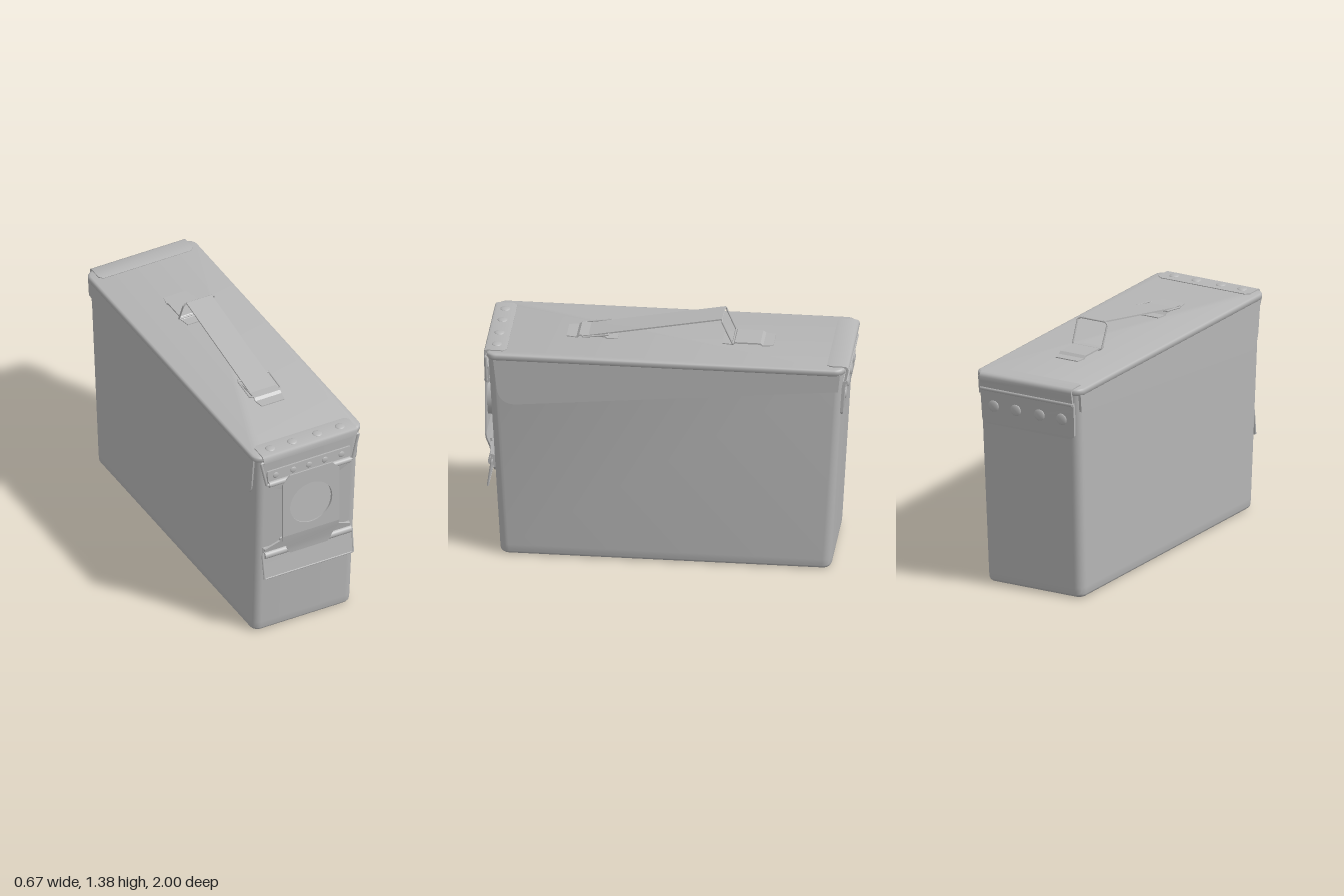
import * as THREE from 'three';
import { toCreasedNormals } from 'three/addons/utils/BufferGeometryUtils.js';

const steel = new THREE.MeshStandardMaterial({ color: 0xb6b6b6, side: THREE.DoubleSide });
steel.name = 'grey steel';

export function createModel() {
  const root = new THREE.Group();
  root.name = 'metalStorageCan';

  const add = (name, geo, pos = [0, 0, 0], rot = [0, 0, 0], parent = root) => {
    const m = new THREE.Mesh(geo, steel);
    m.name = name;
    m.position.set(...pos);
    m.rotation.set(...rot);
    parent.add(m);
    return m;
  };

  // Closed skin through a series of convex cross-sections
  const loft = (rings, crease = 0.6) => {
    const n = rings[0].length, idx = [], last = (rings.length - 1) * n;
    for (let i = 0; i < rings.length - 1; i++) {
      for (let j = 0; j < n; j++) {
        const a = i * n + j, b = i * n + (j + 1) % n;
        idx.push(a, b, b + n, a, b + n, a + n);
      }
    }
    for (let j = 1; j < n - 1; j++) {
      idx.push(0, j + 1, j, last, last + j, last + j + 1);
    }
    const g = new THREE.BufferGeometry();
    g.setAttribute('position', new THREE.Float32BufferAttribute(rings.flat(2), 3));
    g.setIndex(idx);
    return toCreasedNormals(g, crease);
  };

  // Rounded rectangle cross-section at height y
  const roundRing = (y, hx, hz, r) => {
    const pts = [], seg = 8;
    [[1, -1], [-1, -1], [-1, 1], [1, 1]].forEach(([sx, sz], q) => {
      for (let k = 0; k <= seg; k++) {
        const a = (q + k / seg) * Math.PI / 2;
        pts.push([sx * (hx - r) + r * Math.cos(a), y, sz * (hz - r) - r * Math.sin(a)]);
      }
    });
    return pts;
  };

  // Bent sheet: rows of [y, z, half width]; runs up the back, forward over the top, down the front
  const strip = (rows, t = 0.01, crease = 0.6) => loft(rows.map(([y, z, w], i) => {
    const p = rows[Math.max(i - 1, 0)], q = rows[Math.min(i + 1, rows.length - 1)];
    const dy = q[0] - p[0], dz = q[1] - p[1], l = Math.hypot(dy, dz);
    const yi = y - t * dz / l, zi = z + t * dy / l;
    return [[w, y, z], [-w, y, z], [-w, yi, zi], [w, yi, zi]];
  }), crease);

  const wire = (name, pts, r = 0.006) => {
    const path = new THREE.CurvePath();
    const v = pts.map(p => new THREE.Vector3(...p));
    for (let i = 1; i < v.length; i++) path.add(new THREE.LineCurve3(v[i - 1], v[i]));
    add(name, new THREE.TubeGeometry(path, 16 * (v.length - 1), r, 8));
  };

  const rivetRow = (name, xs, y, z, r, rot) => xs.forEach(x => {
    const m = add(name, new THREE.SphereGeometry(r, 20, 8, 0, Math.PI * 2, 0, Math.PI / 2), [x, y, z], rot);
    m.scale.y = 0.3;
  });

  const roll = (name, y, z, r, w) =>
    add(name, new THREE.CylinderGeometry(r, r, w, 16), [0, y, z], [0, 0, Math.PI / 2]);

  // Tapered body with softly rounded bottom
  const body = [];
  for (let k = 0; k <= 6; k++) {
    const a = k / 6 * Math.PI / 2, inset = 0.03 * (1 - Math.sin(a));
    body.push(roundRing(0.03 * (1 - Math.cos(a)), 0.305 - inset, 0.905 - inset, 0.05 - inset));
  }
  body.push(roundRing(0.06, 0.306, 0.907, 0.05), roundRing(1.195, 0.319, 0.97, 0.05));
  add('body', loft(body));

  // Lid with rolled rim
  add('lid', loft([
    roundRing(1.185, 0.326, 0.972, 0.05), roundRing(1.192, 0.333, 0.979, 0.055),
    roundRing(1.212, 0.335, 0.981, 0.055), roundRing(1.22, 0.331, 0.977, 0.052),
    roundRing(1.223, 0.322, 0.968, 0.045),
  ], 0.9));

  // Raised side panels with sloping lower edge
  const panel = new THREE.Shape();
  panel.moveTo(-0.94, 1.19);
  panel.lineTo(-0.92, 1.02);
  panel.quadraticCurveTo(-0.91, 0.915, -0.81, 0.922);
  panel.lineTo(0.945, 1.09);
  panel.lineTo(0.955, 1.19);
  panel.closePath();
  for (const s of [1, -1]) {
    add('sidePanel', new THREE.ExtrudeGeometry(panel, { depth: 0.014, bevelEnabled: false, curveSegments: 10 }),
      [s > 0 ? 0.311 : -0.325, 0, 0], [0, Math.PI / 2, 0]);
  }

  // Front lid plate and rivets
  add('frontLidPlate', strip([[1.227, 0.87, 0.27], [1.229, 0.89, 0.29], [1.229, 0.975, 0.29],
    [1.225, 0.988, 0.29], [1.215, 0.993, 0.29], [1.185, 0.993, 0.285]]));
  rivetRow('lidRivet', [-0.215, -0.08, 0.075, 0.215], 1.228, 0.93, 0.028, [0, 0, 0]);

  // Rear hinge: upper leaf rolls over the lid, lower leaf is riveted to the body
  add('rearHingeUpper', strip([[1.125, -0.985, 0.29], [1.18, -0.992, 0.29], [1.205, -1, 0.29], [1.222, -0.994, 0.29],
    [1.229, -0.98, 0.29], [1.229, -0.9, 0.29], [1.226, -0.88, 0.27]], 0.012, 0.9));
  add('rearHingeLower', strip([[0.93, -0.964, 0.27], [0.95, -0.968, 0.29], [1.1, -0.978, 0.295],
    [1.14, -0.985, 0.295]], 0.016));
  roll('rearHingePin', 1.135, -0.982, 0.011, 0.58);
  rivetRow('rearRivet', [-0.215, -0.075, 0.075, 0.215], 1.04, -0.974, 0.033, [-Math.PI / 2, 0, 0]);

  // Upper latch mount
  add('latchMount', strip([[1.11, 0.975, 0.255], [1.045, 0.977, 0.255]], 0.012));
  rivetRow('latchRivet', [-0.205, -0.097, 0, 0.097, 0.2], 1.075, 0.976, 0.018, [Math.PI / 2, 0, 0]);
  roll('latchUpperPin', 1.027, 0.978, 0.018, 0.5);
  add('latchUpperShoulder', strip([[1.035, 0.992, 0.25], [1.015, 0.992, 0.25], [0.975, 0.985, 0.175]]));

  // Latch plate with round opening and tilted recessed disc
  const plate = new THREE.Shape([[-0.13, 1.06], [-0.175, 1.01], [-0.175, 0.66], [0.175, 0.66], [0.175, 1.01], [0.13, 1.06]]
    .map(p => new THREE.Vector2(...p)));
  plate.holes.push(new THREE.Path().absarc(0, 0.84, 0.13, 0, Math.PI * 2, true));
  add('latchPlate', new THREE.ExtrudeGeometry(plate, { depth: 0.008, bevelEnabled: false, curveSegments: 32 }), [0, 0, 0.992]);
  add('latchRecessWall', new THREE.CylinderGeometry(0.13, 0.13, 0.034, 40, 1, true), [0, 0.84, 0.982], [Math.PI / 2, 0, 0]);
  add('latchRecessDisc', new THREE.CircleGeometry(0.13, 40), [0, 0.84, 0.983], [-0.09, 0, 0]);
  add('latchLowerPlate', strip([[0.66, 1, 0.175], [0.625, 0.994, 0.17], [0.57, 0.98, 0.14],
    [0.54, 0.975, 0.13], [0.52, 0.973, 0.115]], 0.008));

  // Lower latch: shoulders, keeper plate, pin and pull flap
  add('latchLowerShoulder', strip([[0.635, 0.972, 0.175], [0.615, 0.968, 0.175], [0.58, 0.96, 0.262], [0.55, 0.955, 0.262]]));
  add('keeperPlate', strip([[0.58, 0.948, 0.265], [0.505, 0.943, 0.265], [0.478, 0.941, 0.24]], 0.014));
  roll('pullFlapPin', 0.54, 0.952, 0.022, 0.53);
  add('pullFlap', strip([[0.545, 0.957, 0.27], [0.5, 0.962, 0.272], [0.39, 0.977, 0.27]], 0.007));
  wire('pullFlapRim', [[-0.265, 0.555, 0.95], [-0.275, 0.54, 0.953], [-0.272, 0.395, 0.973],
    [0.272, 0.395, 0.973], [0.275, 0.54, 0.953], [0.265, 0.555, 0.95]]);

  // Bail wires joining the lid to the latch
  for (const s of [1, -1]) {
    wire('latchBail', [[s * 0.27, 1.19, 0.983], [s * 0.3, 1.185, 0.984], [s * 0.265, 1.03, 0.982], [s * 0.2, 1.02, 0.982]], 0.008);
  }

  // Folding handle strap
  add('handleStrap', strip([[1.377, -0.285, 0.078], [1.259, 0.35, 0.078], [1.238, 0.46, 0.078]], 0.008));

  // Humped handle mounts on the lid
  for (const z of [-0.425, 0.425]) {
    add('handleMount', strip([[1.228, z - 0.14, 0.07], [1.228, z - 0.085, 0.08], [1.241, z - 0.07, 0.08],
      [1.241, z + 0.07, 0.08], [1.228, z + 0.085, 0.08], [1.228, z + 0.14, 0.07]], 0.009));
  }

  // Wire loops holding the handle
  wire('handleRearLoop', [[-0.078, 1.372, -0.285], [-0.094, 1.36, -0.29], [-0.092, 1.235, -0.345], [0.092, 1.235, -0.345],
    [0.094, 1.36, -0.29], [0.078, 1.372, -0.285], [-0.078, 1.372, -0.285]], 0.005);
  wire('handleFrontLoop', [[-0.08, 1.236, 0.48], [-0.095, 1.236, 0.47], [-0.095, 1.255, 0.335], [0.095, 1.255, 0.335],
    [0.095, 1.236, 0.47], [0.08, 1.236, 0.48]], 0.005);

  return root;
}
